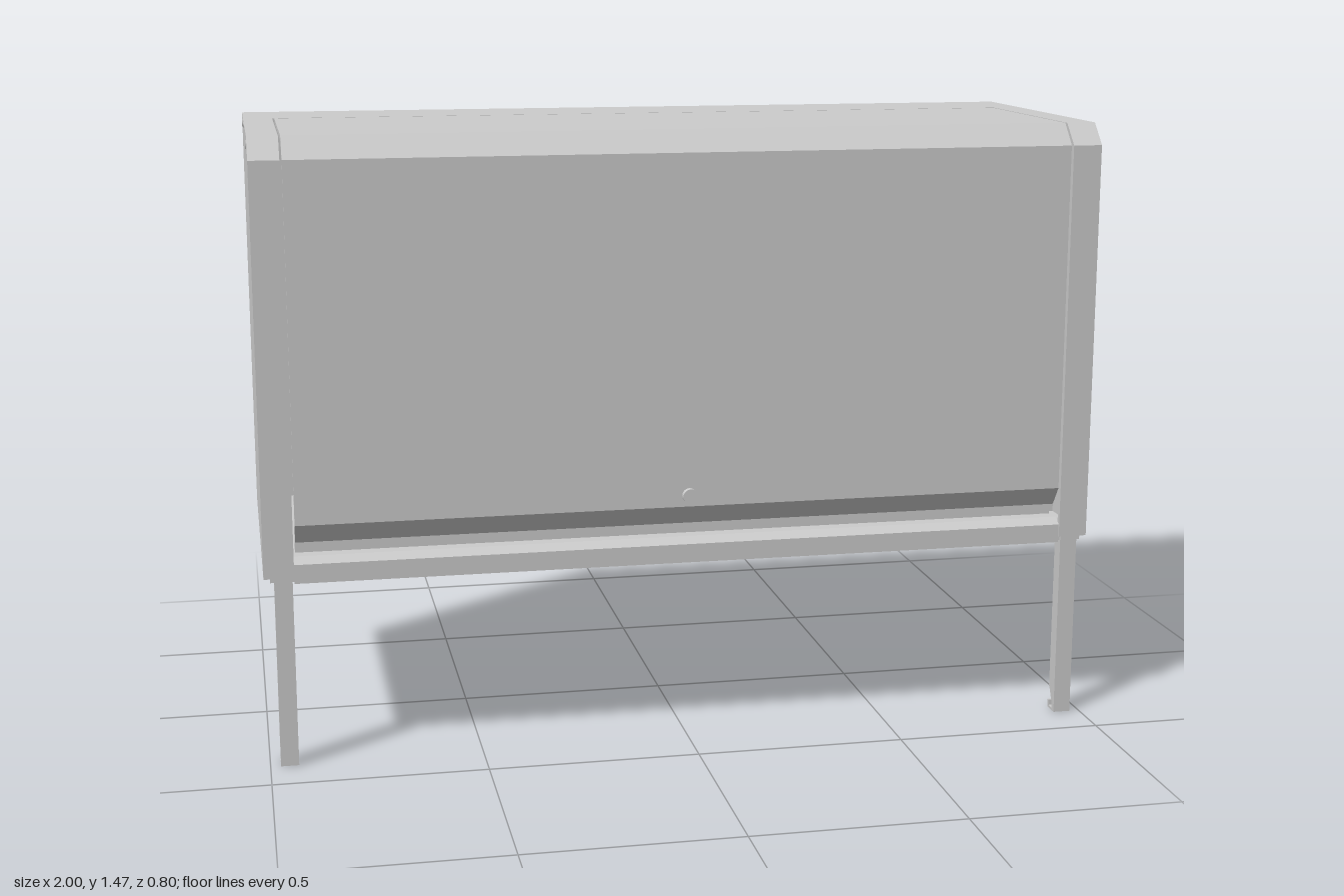
import * as THREE from 'three';

const grey = new THREE.MeshStandardMaterial({ color: 0xcccccc, flatShading: true, side: THREE.DoubleSide });

export function createModel() {
  const model = new THREE.Group();

  const add = (name, geometry, x = 0, y = 0, z = 0) => {
    const mesh = new THREE.Mesh(geometry, grey);
    mesh.name = name;
    mesh.position.set(x, y, z);
    model.add(mesh);
    return mesh;
  };
  // box given by its limits on each axis
  const box = (name, x0, x1, y0, y1, z0, z1) =>
    add(name, new THREE.BoxGeometry(x1 - x0, y1 - y0, z1 - z0), (x0 + x1) / 2, (y0 + y1) / 2, (z0 + z1) / 2);
  const polygon = (points) => new THREE.Shape(points.map(([a, b]) => new THREE.Vector2(a, b)));
  // profile of [z, y] points pushed along x, centred on x
  const profile = (name, points, width, x = 0, hole = null) => {
    const shape = polygon(points);
    if (hole) shape.holes.push(polygon(hole));
    const g = new THREE.ExtrudeGeometry(shape, { depth: width, bevelEnabled: false });
    g.translate(0, 0, -width / 2);
    g.rotateY(-Math.PI / 2);
    return add(name, g, x);
  };
  const disc = (name, r, h, axis, x, y, z) => {
    const g = new THREE.CylinderGeometry(r, r, h, 24);
    if (axis === 'x') g.rotateZ(Math.PI / 2); else g.rotateX(Math.PI / 2);
    return add(name, g, x, y, z);
  };

  // end caps: hollow rim closed by an outer wall
  const capOuter = [[0.387, 0.455], [0.387, 1.415], [0.338, 1.465], [-0.39, 1.465], [-0.39, 0.455]];
  const capInner = [[0.375, 0.467], [0.375, 1.41], [0.333, 1.453], [-0.378, 1.453], [-0.378, 0.467]];
  for (const s of [-1, 1]) {
    profile('capRim', capOuter, 0.06, s * 0.96, capInner);
    profile('sideWall', capOuter, 0.01, s * 0.995);
    for (const z of [0.29, -0.345]) disc('sideScrew', 0.01, 0.004, 'x', s * 0.999, 1.443, z);
    disc('sideRivet', 0.006, 0.003, 'x', s * 0.999, 1.452, -0.15);
  }

  // folded door: top leaf, chamfer, front and slanted grip at the bottom
  profile('door', [
    [-0.168, 1.465], [-0.168, 1.453], [0.333, 1.453], [0.373, 1.41], [0.373, 0.585], [0.34, 0.535], [0.34, 0.512],
    [0.352, 0.512], [0.352, 0.53], [0.385, 0.578], [0.385, 1.415], [0.338, 1.465]], 1.85);
  disc('doorKnob', 0.018, 0.016, 'z', 0, 0.605, 0.391);
  disc('doorKnobBase', 0.012, 0.03, 'z', 0, 0.605, 0.375);

  // fixed rear roof, floor and front sill
  box('rearRoof', -0.93, 0.93, 1.453, 1.465, -0.39, -0.173);
  box('floor', -0.985, 0.985, 0.445, 0.46, -0.385, 0.383);
  profile('frontSill', [[0.383, 0.44], [0.383, 0.485], [0.362, 0.5], [0.335, 0.5], [0.335, 0.44]], 1.86);
  box('sillStop', -0.925, 0.925, 0.5, 0.525, 0.32, 0.33);

  // channel under the floor
  profile('underRail', [[0.045, 0.446], [0.03, 0.42], [-0.08, 0.42], [-0.095, 0.446]], 1.94);

  // perforated back panel: round holes with staggered slots between them
  const back = polygon([[-0.93, 0.455], [0.93, 0.455], [0.93, 1.465], [-0.93, 1.465]]);
  const pitch = 0.0535;
  for (let i = 0; i < 28; i++) {
    for (let j = 0; j < 14; j++) {
      const x = (i - 13.5) * pitch, y = 0.595 + j * pitch;
      const hole = new THREE.Path();
      for (let k = 0; k < 6; k++) {
        const a = k * Math.PI / 3;
        hole[k ? 'lineTo' : 'moveTo'](x + 0.007 * Math.cos(a), y + 0.007 * Math.sin(a));
      }
      back.holes.push(hole);
      if (i % 2 && i < 27 && (j + (i - 1) / 2) % 2 === 0 && j < 13) {
        const sx = x + pitch / 2, sy = y + pitch / 2;
        back.holes.push(polygon([[sx - 0.005, sy - 0.02], [sx + 0.005, sy - 0.02], [sx + 0.005, sy + 0.02], [sx - 0.005, sy + 0.02]]));
      }
    }
  }
  add('backPanel', new THREE.ExtrudeGeometry(back, { depth: 0.01, bevelEnabled: false }), 0, 0, -0.39);

  // cable cover and grommets on the back
  box('cableCover', -0.93, -0.83, 0.46, 1.18, -0.392, -0.388);
  for (const s of [-1, 1]) {
    disc('grommet', 0.035, 0.016, 'z', s * 0.825, 1.187, -0.389);
    add('grommetRing', new THREE.TorusGeometry(0.032, 0.004, 8, 24), s * 0.825, 1.187, -0.395);

    // slotted hanging tab below the back edge
    const x = s * 0.775;
    const tab = polygon([[-0.022, 0.4], [-0.012, 0.39], [0.012, 0.39], [0.022, 0.4], [0.022, 0.49], [-0.022, 0.49]]);
    tab.holes.push(polygon([[-0.009, 0.405], [0.009, 0.405], [0.009, 0.43], [-0.009, 0.43]]));
    add('hangingTab', new THREE.ExtrudeGeometry(tab, { depth: 0.006, bevelEnabled: false }), x, 0, -0.397);
  }

  // front legs: channels open to the rear, cut back above a foot plate
  for (const s of [-1, 1]) {
    const x = s * 0.955;
    box('legFront', x - 0.021, x + 0.021, 0, 0.455, 0.38, 0.387);
    for (const e of [-1, 1]) {
      profile('legFlange', [[0.385, 0], [0.385, 0.455], [0.352, 0.455], [0.352, 0.06], [0.372, 0.02], [0.372, 0]], 0.006, x + e * 0.018);
    }
    box('foot', x - 0.021, x + 0.021, 0, 0.006, 0.345, 0.385);
    box('footLip', x - 0.021, x + 0.021, 0, 0.02, 0.345, 0.351);
  }
  return model;
}
